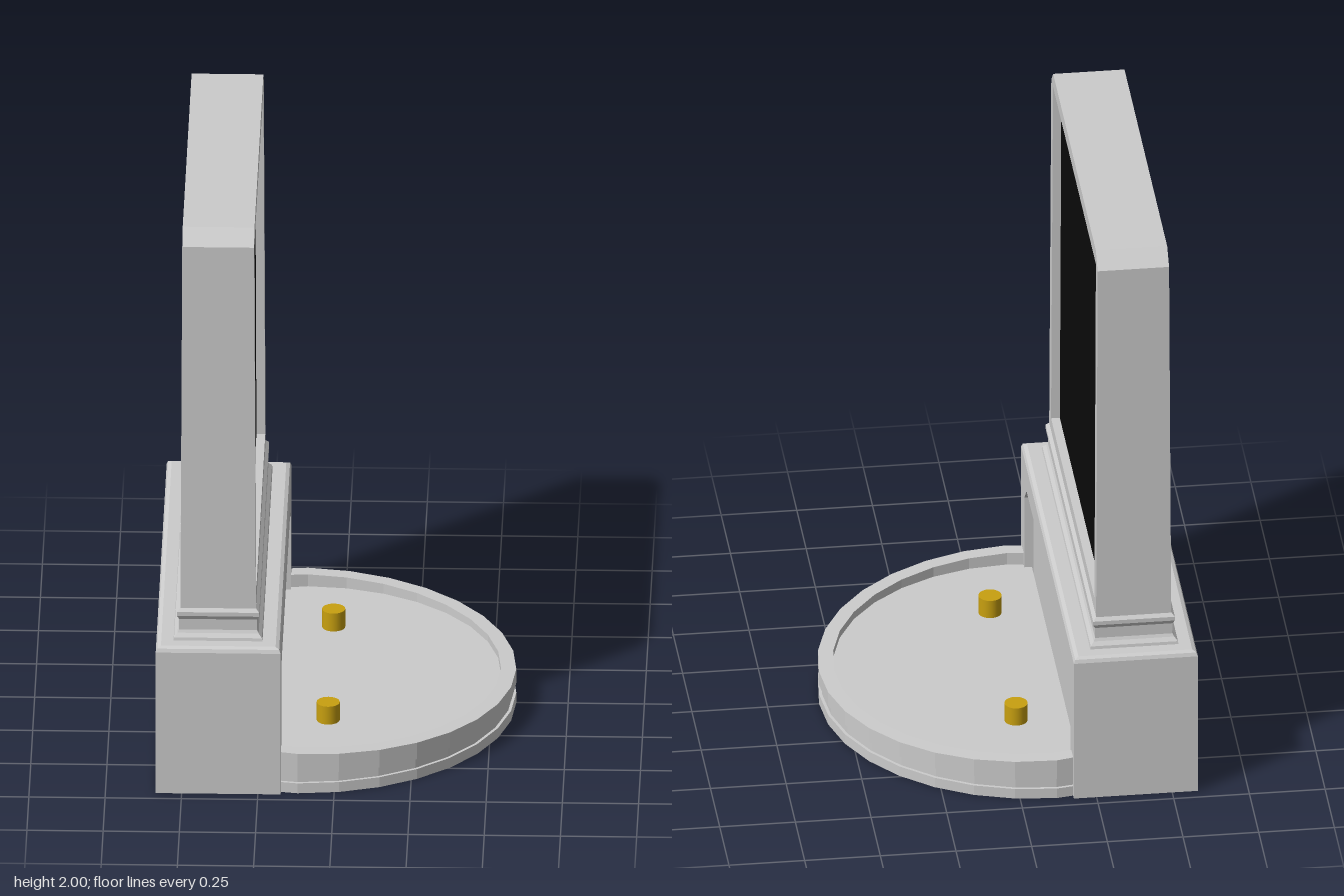
import * as THREE from 'three';

const grey = new THREE.MeshStandardMaterial({ color: 0xcccccc, flatShading: true });
const black = new THREE.MeshStandardMaterial({ color: 0x0a0a0a });
const gold = new THREE.MeshStandardMaterial({ color: 0xc8a010 });
const CX = -0.382; // x centre of the upright parts

const poly = (pts) => new THREE.Shape(pts.map(([a, b]) => new THREE.Vector2(a, b)));
const extrude = (shape, depth) => new THREE.ExtrudeGeometry(shape, { depth, bevelEnabled: false });

// Outline in (z, y), extruded along x from x0 to x1
const slab = (shape, x0, x1) => extrude(shape, x1 - x0).rotateY(Math.PI / 2).translate(x0, 0, 0);

// Plan shape in (x, z), extruded upwards from y0 to y1
const plan = (shape, y0, y1) => extrude(shape, y1 - y0).rotateX(-Math.PI / 2).translate(0, y0, 0);

function moveVertices(geo, rule) {
  const p = geo.attributes.position;
  const v = new THREE.Vector3();
  for (let i = 0; i < p.count; i++) {
    v.fromBufferAttribute(p, i);
    rule(v);
    p.setXYZ(i, v.x, v.y, v.z);
  }
  geo.computeVertexNormals();
  return geo;
}

// Rectangular moulding: profile of [half width in x, y]; z is longer by a constant
function moulding(profile, extra) {
  const pts = profile.map(([r, y]) => new THREE.Vector2(r, y));
  const geo = new THREE.LatheGeometry(pts, 4, Math.PI / 4).toNonIndexed();
  return moveVertices(geo, (v) => {
    const r = Math.abs(v.x) * Math.SQRT2;
    v.x = CX + Math.sign(v.x) * r;
    v.z = Math.sign(v.z) * (r + extra);
  });
}

// Faceted arc of the platform, cut off behind the plinth front
function arc(r) {
  const pts = [];
  for (let i = -9; i <= 9; i++) {
    const a = (i * Math.PI) / 16;
    pts.push([Math.max(-0.12 + r * Math.cos(a), -0.2), r * Math.sin(a)]);
  }
  return pts;
}

export function createModel() {
  const root = new THREE.Group();
  const add = (name, geo, mat = grey) => {
    const m = new THREE.Mesh(geo, mat);
    m.name = name;
    root.add(m);
    return m;
  };

  // Plinth: core, front with a recessed panel, and softened top
  add('plinthCore', new THREE.BoxGeometry(0.38, 0.45, 1.42).translate(-0.395, 0.225, 0));
  const front = poly([
    [-0.71, 0], [-0.625, 0], [-0.625, 0.365], [-0.565, 0.425], [0.565, 0.425],
    [0.625, 0.365], [0.625, 0], [0.71, 0], [0.71, 0.45], [-0.71, 0.45],
  ]);
  add('plinthFront', slab(front, -0.205, -0.175));
  add('plinthTop', moulding([[0.205, 0.45], [0.205, 0.512], [0.2, 0.524], [0.188, 0.53], [0.1, 0.53]], 0.505)
    .translate(0.002, 0, 0));

  // Stepped collar between plinth and display
  add('collar', moulding([
    [0.146, 0.53], [0.144, 0.54], [0.133, 0.552], [0.128, 0.562], [0.128, 0.6],
    [0.135, 0.614], [0.135, 0.628], [0.124, 0.64], [0.1, 0.64],
  ], 0.508));

  // Display housing, tapering slightly upwards, with chamfered top corners
  const outline = [[-0.633, 0.635], [0.633, 0.635], [0.633, 1.95], [0.583, 2], [-0.583, 2], [-0.633, 1.95]];
  const opening = [[-0.584, 0.685], [-0.584, 1.95], [0.584, 1.95], [0.584, 0.685]];
  const taper = (v) => {
    const t = (v.y - 0.635) / 1.365;
    v.x = CX + (v.x - CX) * (1 - 0.05 * t);
    v.z *= 1 - 0.013 * t;
  };
  const frame = poly(outline);
  frame.holes.push(new THREE.Path(opening.map(([a, b]) => new THREE.Vector2(a, b))));
  add('displayHousing', moveVertices(slab(poly(outline), -0.506, -0.29), taper));
  add('displayFrame', moveVertices(slab(frame, -0.29, -0.258), taper));
  add('screen', moveVertices(slab(poly(opening), -0.3, -0.287), taper), black);

  // Half-round platform: foot, grooved floor, raised rim sloping down to the front
  add('platformFoot', plan(poly(arc(0.7)), 0, 0.036));
  add('platformFloor', plan(poly(arc(0.69)), 0.03, 0.1));
  const rim = poly([...arc(0.7), ...arc(0.65).reverse()]);
  add('platformRim', moveVertices(plan(rim, 0.072, 0.14), (v) => {
    if (v.y > 0.1) v.y = 0.145 - 0.03 * (v.x + 0.175);
  }));

  // Pegs
  for (const [name, z] of [['leftPeg', -0.35], ['rightPeg', 0.35]]) {
    add(name, new THREE.CylinderGeometry(0.038, 0.038, 0.07, 24).translate(-0.028, 0.13, z), gold);
  }
  return root;
}
